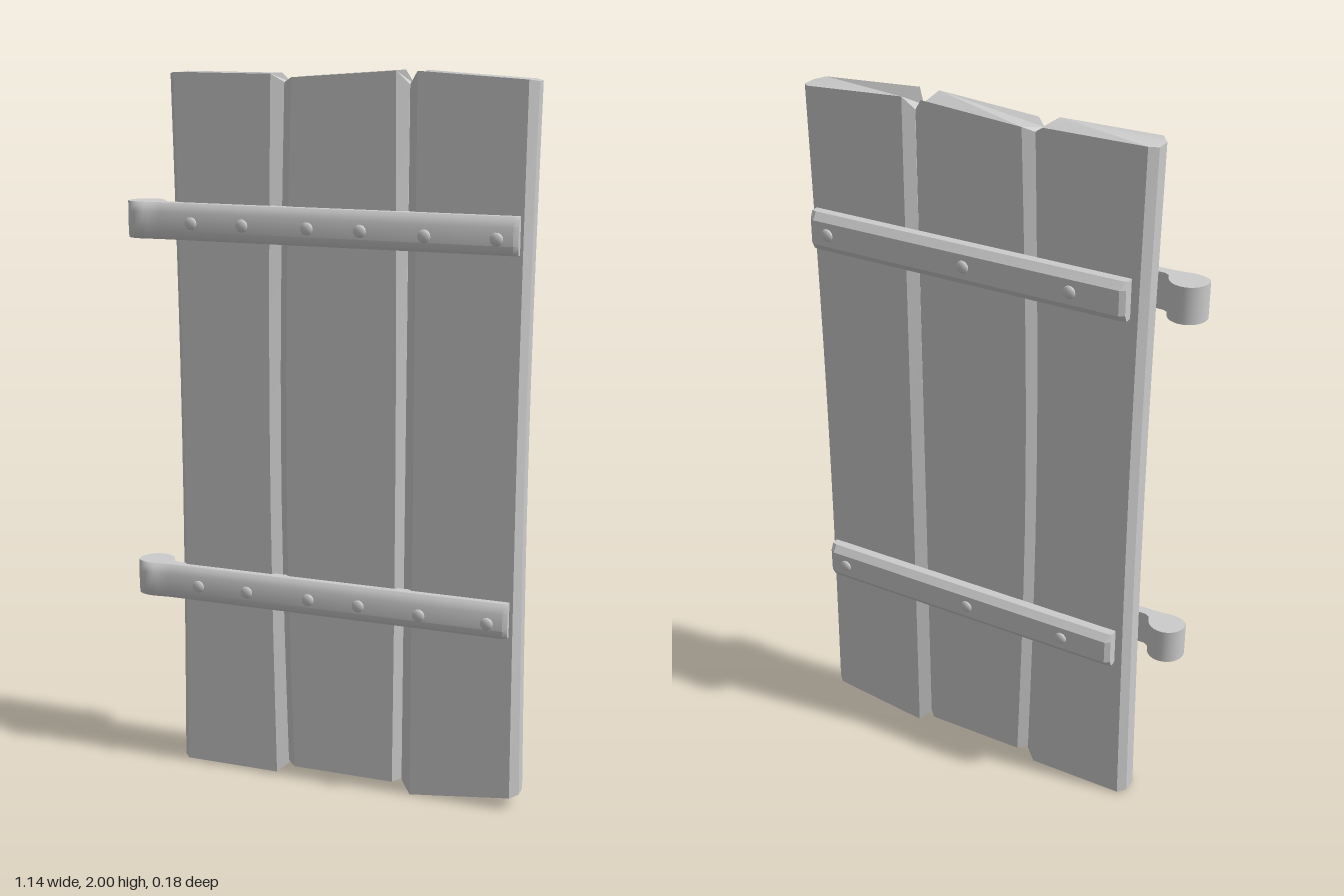
import * as THREE from 'three';
import { toCreasedNormals } from 'three/addons/utils/BufferGeometryUtils.js';

const material = new THREE.MeshStandardMaterial({ color: 0xcccccc });

// Closed solid through stacked rings of [x, y, z]; rings run towards +x along the front.
function loft(rings, crease) {
  const pos = [];
  const n = rings[0].length;
  for (let r = 0; r < rings.length - 1; r++) {
    for (let i = 0; i < n; i++) {
      const j = (i + 1) % n;
      const a = rings[r][i], b = rings[r][j], c = rings[r + 1][j], d = rings[r + 1][i];
      pos.push(...a, ...b, ...c, ...a, ...c, ...d);
    }
  }
  const top = rings[rings.length - 1], bottom = rings[0];
  const cap = THREE.ShapeUtils.triangulateShape(top.map(p => new THREE.Vector2(p[0], -p[2])), []);
  for (const [a, b, c] of cap) {
    pos.push(...top[a], ...top[b], ...top[c], ...bottom[a], ...bottom[c], ...bottom[b]);
  }
  const geo = new THREE.BufferGeometry();
  geo.setAttribute('position', new THREE.Float32BufferAttribute(pos, 3));
  return toCreasedNormals(geo, crease);
}

function addMesh(parent, name, geo) {
  const mesh = new THREE.Mesh(geo, material);
  mesh.name = name;
  parent.add(mesh);
  return mesh;
}

// Chamfered board: [x, y] of outer edge, face edge, face edge, outer edge at each end.
function plankGeometry(bottom, top, bow, zBow) {
  const corners = [[0, 0.02], [1, 0.044], [2, 0.044], [3, 0.02], [3, -0.022], [2, -0.044], [1, -0.044], [0, -0.022]];
  const rings = [];
  const steps = 10;
  for (let s = 0; s <= steps; s++) {
    const t = s / steps, bend = Math.sin(Math.PI * t);
    rings.push(corners.map(([i, z]) => [
      THREE.MathUtils.lerp(bottom[i][0], top[i][0], t) + bow[i] * bend,
      THREE.MathUtils.lerp(bottom[i][1], top[i][1], t),
      z + zBow * (1 - t),
    ]));
  }
  return loft(rings, 0.35);
}

// Horizontal bar from an xz outline; depth beyond z0 shrinks towards its long edges.
function barGeometry(outline, z0, levels, crease) {
  const rings = levels.map(([y, k]) => outline.map(([x, z]) => {
    const over = Math.abs(z) > Math.abs(z0) && Math.sign(z) === Math.sign(z0) ? z - z0 : 0;
    return [x, y, z - k * over];
  }));
  return loft(rings, crease);
}

export function createModel() {
  const model = new THREE.Group();
  model.name = 'plankDoor';

  // Three uneven boards
  const planks = [
    ['rightPlank',
      [[-0.445, 0.005], [-0.425, 0.004], [-0.145, 0.004], [-0.113, 0.03]],
      [[-0.445, 1.985], [-0.425, 1.99], [-0.148, 1.988], [-0.115, 1.965]],
      [0.01, 0.008, -0.012, -0.016], 0.004],
    ['middlePlank',
      [[-0.118, 0.036], [-0.09, 0.03], [0.205, 0.03], [0.227, 0.034]],
      [[-0.12, 1.965], [-0.09, 1.98], [0.195, 2.0], [0.225, 1.965]],
      [-0.018, -0.02, 0.005, 0], 0.004],
    ['leftPlank',
      [[0.226, 0.03], [0.258, 0], [0.545, 0.036], [0.567, 0.04]],
      [[0.226, 1.965], [0.252, 2.0], [0.54, 1.982], [0.562, 1.978]],
      [0, 0, -0.005, -0.01], 0.004],
  ];
  for (const [name, ...shape] of planks) addMesh(model, name, plankGeometry(...shape));

  // Strap outline with a rolled eye at one end
  const strapOutline = [[-0.46, 0.077], [0.518, 0.076], [0.53, 0.066], [0.53, 0.038], [-0.45, 0.038], [-0.462, 0.032]];
  for (let i = 0; i <= 20; i++) {
    const a = THREE.MathUtils.degToRad(15 + i * 14);
    strapOutline.push([-0.518 + 0.052 * Math.cos(a), 0.035 - 0.052 * Math.sin(a)]);
  }
  const strapGeo = barGeometry(strapOutline, 0.05,
    [[-0.05, 0.45], [-0.042, 0.2], [-0.025, 0], [0.025, 0], [0.042, 0.2], [0.05, 0.45]], 0.7);

  // Bevelled bar on the back
  const battenOutline = [[-0.4, -0.046], [0.53, -0.046], [0.53, -0.076], [0.516, -0.086], [-0.386, -0.086], [-0.4, -0.076]];
  const battenGeo = barGeometry(battenOutline, -0.06,
    [[-0.054, 0.6], [-0.034, 0], [0.034, 0], [0.054, 0.6]], 0.3);

  // Domed rivet head facing +z
  const rivetGeo = new THREE.SphereGeometry(0.018, 14, 6, 0, Math.PI * 2, 0, Math.PI / 2);
  rivetGeo.rotateX(Math.PI / 2).scale(1, 1, 0.5);

  const frontRivets = [-0.37, -0.222, -0.037, 0.11, 0.284, 0.475];
  const backRivets = [-0.25, 0.056, 0.473];
  for (const [label, strapY, battenY] of [['upper', 1.595, 1.597], ['lower', 0.56, 0.533]]) {
    const strap = new THREE.Group();
    strap.name = label + 'HingeStrap';
    strap.position.y = strapY;
    addMesh(strap, 'strap', strapGeo);
    for (const x of frontRivets) addMesh(strap, 'rivet', rivetGeo).position.set(x, x > 0.2 ? -0.008 : -0.003, 0.0755);

    const batten = new THREE.Group();
    batten.name = label + 'BackBatten';
    batten.position.y = battenY;
    addMesh(batten, 'batten', battenGeo);
    for (const x of backRivets) {
      const rivet = addMesh(batten, 'rivet', rivetGeo);
      rivet.position.set(x, 0, -0.0855);
      rivet.rotation.y = Math.PI;
    }
    model.add(strap, batten);
  }
  return model;
}
